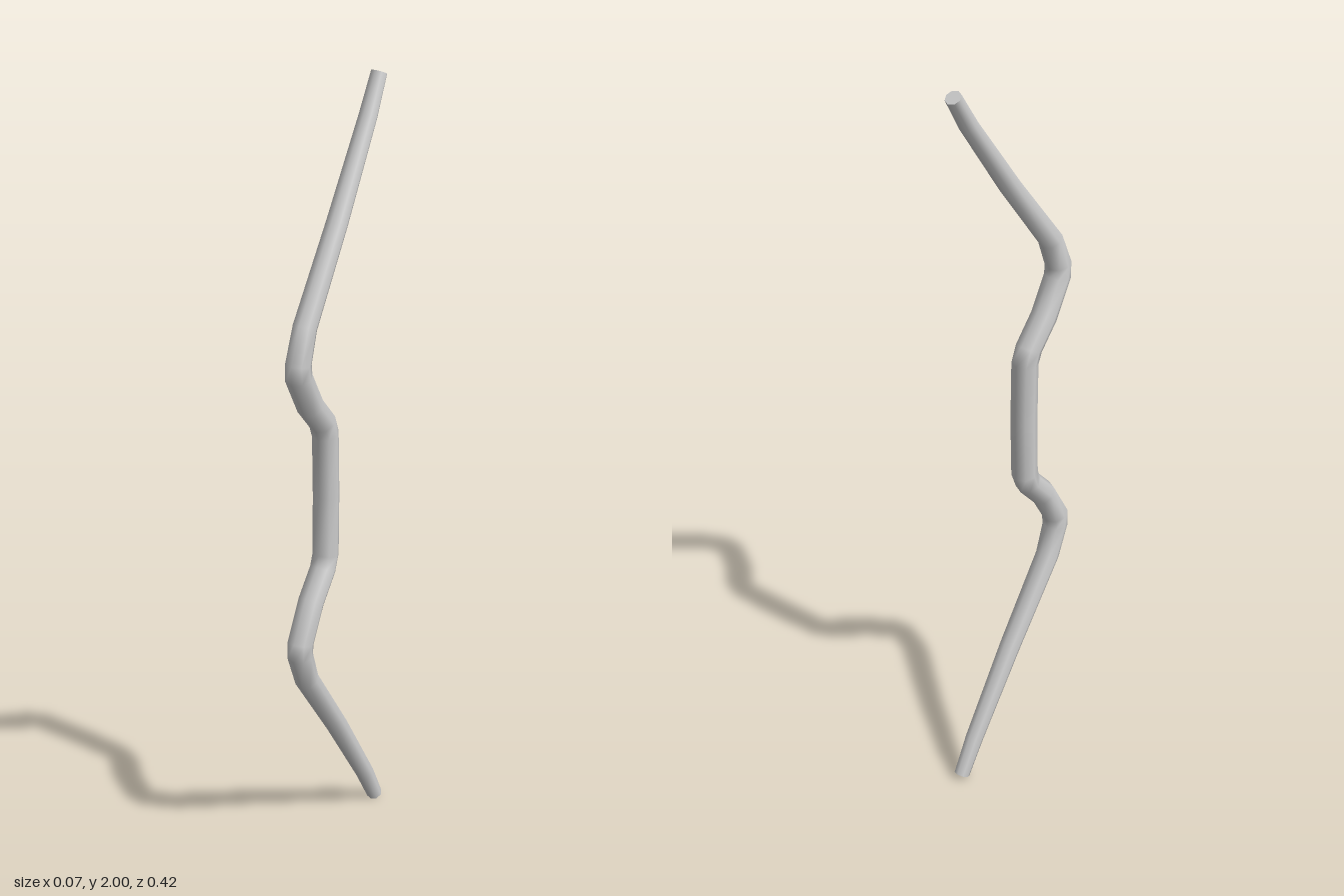
import * as THREE from 'three';

const SIDES = 8;

// Upper half of the centre line, from the grip to the tip: [y, z, radius]
const upper = [
  [1.0, 0.055, 0.033], [1.162, 0.058, 0.033], [1.199, 0.072, 0.033],
  [1.263, 0.127, 0.033], [1.355, 0.177, 0.033], [1.39, 0.179, 0.032],
  [1.472, 0.149, 0.030], [1.68, 0.004, 0.027], [1.9, -0.138, 0.023], [1.991, -0.188, 0.020],
];

// Tapered tube with mitred rings through the stations, in the x = 0 plane
function taperedTube(stations) {
  const pos = [], index = [];
  const pts = stations.map(([y, z]) => new THREE.Vector2(z, y));
  const last = pts.length - 1;
  pts.forEach((p, i) => {
    const a = pts[Math.max(i - 1, 0)], b = pts[Math.min(i + 1, last)];
    const before = (i ? p.clone().sub(a) : b.clone().sub(p)).normalize();
    const after = (i < last ? b.clone().sub(p) : before.clone()).normalize();
    const t = before.add(after).normalize();
    const r = stations[i][2];
    for (let k = 0; k < SIDES; k++) {
      const ang = (k / SIDES) * Math.PI * 2;
      const s = Math.cos(ang) * r;
      pos.push(Math.sin(ang) * r, p.y - t.x * s, p.x + t.y * s);
      if (i < last) {
        const k2 = (k + 1) % SIDES, o = i * SIDES;
        index.push(o + k, o + k2, o + SIDES + k2, o + k, o + SIDES + k2, o + SIDES + k);
      }
    }
  });
  // Flat end caps with their own vertices
  for (const end of [0, last]) {
    const base = pos.length / 3;
    pos.push(...pos.slice(end * SIDES * 3, (end + 1) * SIDES * 3));
    for (let k = 1; k < SIDES - 1; k++) {
      if (end) index.push(base, base + k, base + k + 1);
      else index.push(base, base + k + 1, base + k);
    }
  }
  const g = new THREE.BufferGeometry();
  g.setAttribute('position', new THREE.Float32BufferAttribute(pos, 3));
  g.setIndex(index);
  g.computeVertexNormals();
  return g;
}

export function createModel() {
  const group = new THREE.Group();
  group.name = 'bow';
  // The lower limb mirrors the upper one about y = 1
  const lower = upper.slice(1).reverse().map(([y, z, r]) => [2 - y, z, r]);
  const stave = new THREE.Mesh(
    taperedTube([...lower, ...upper]),
    new THREE.MeshStandardMaterial({ color: 0xcccccc }),
  );
  stave.name = 'bowStave';
  group.add(stave);
  return group;
}
